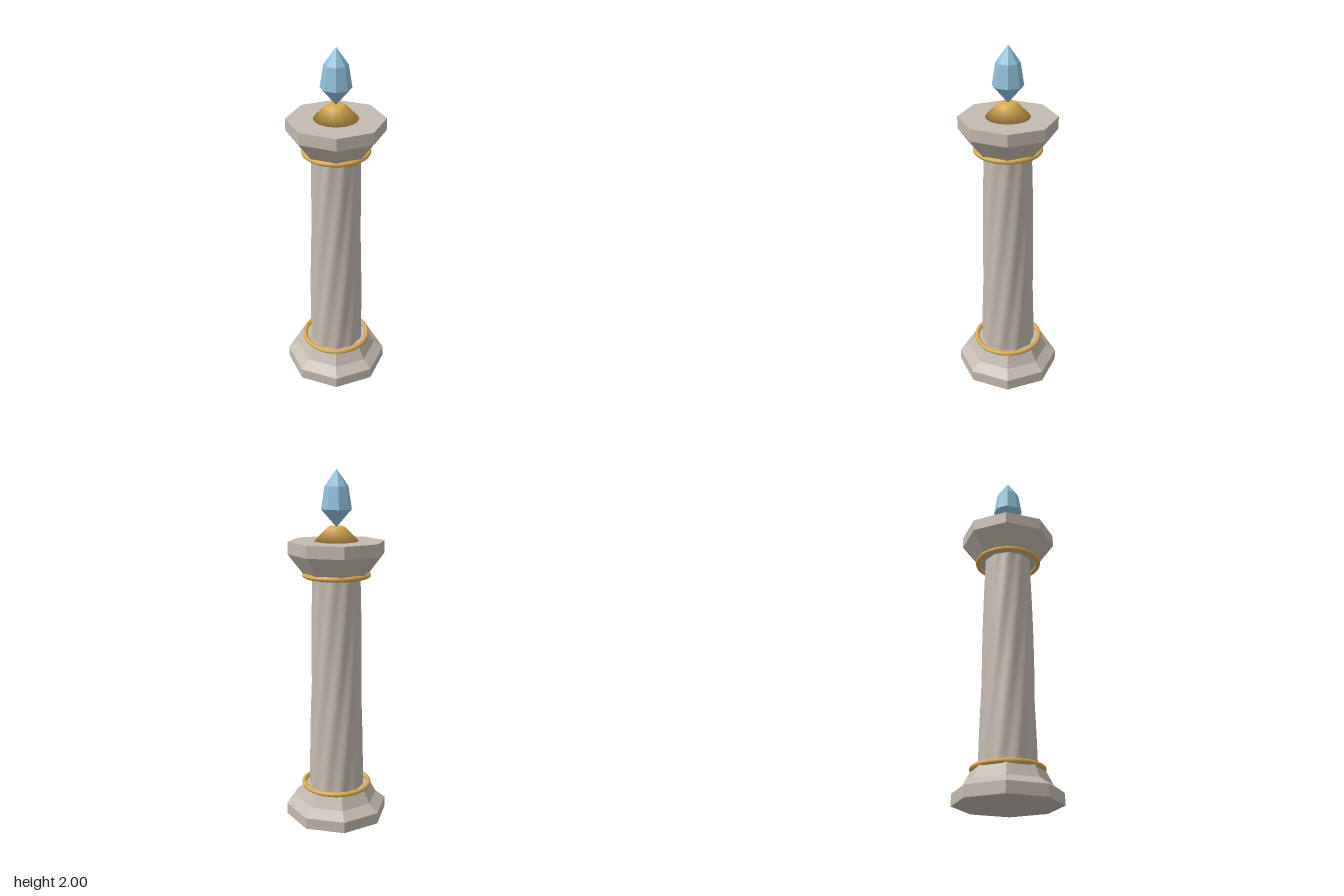
import * as THREE from 'three';
import { mergeVertices } from 'three/addons/utils/BufferGeometryUtils.js';

const material = (name, color) => {
  const m = new THREE.MeshStandardMaterial({ color });
  m.name = name;
  return m;
};

// Turned solid from [radius, height] pairs, listed from bottom to top
const lathe = (profile, sides) =>
  new THREE.LatheGeometry(profile.map(([r, y]) => new THREE.Vector2(r, y)), sides);

const faceted = (profile, sides) => {
  const g = lathe(profile, sides).toNonIndexed();
  g.computeVertexNormals();
  return g;
};

// Tapered column with shallow flutes that twist as they rise
function flutedShaft(y0, y1, r0, r1, lobes, depth, twist) {
  let g = new THREE.CylinderGeometry(1, 1, 1, 120, 40, true);
  g.deleteAttribute('uv');
  g.deleteAttribute('normal');
  g = mergeVertices(g);
  const p = g.attributes.position;
  for (let i = 0; i < p.count; i++) {
    const t = p.getY(i) + 0.5;
    const a = Math.atan2(p.getX(i), p.getZ(i));
    const r = THREE.MathUtils.lerp(r0, r1, t) * (1 + depth * Math.cos(lobes * (a - twist * t)));
    p.setXYZ(i, r * Math.sin(a), THREE.MathUtils.lerp(y0, y1, t), r * Math.cos(a));
  }
  g.computeVertexNormals();
  return g;
}

export function createModel() {
  const model = new THREE.Group();
  model.name = 'crystalPillar';
  const stone = material('stone', 0xc4bab0);
  const gold = material('gold', 0xd9aa50);
  const crystal = material('crystal', 0x8fc0da);

  const add = (name, geometry, mat) => {
    const mesh = new THREE.Mesh(geometry, mat);
    mesh.name = name;
    model.add(mesh);
    return mesh;
  };

  // Eight-sided foot and capital
  add('base', faceted([[0, 0], [0.295, 0], [0.295, 0.065], [0.237, 0.108], [0.2, 0.18], [0, 0.18]], 8), stone);
  add('capital', faceted([[0, 1.43], [0.18, 1.43], [0.222, 1.484], [0.27, 1.547], [0.27, 1.615], [0, 1.615]], 8), stone);

  add('shaft', flutedShaft(0.17, 1.44, 0.155, 0.132, 10, 0.025, 1), stone);

  // Gold rings at both ends of the shaft
  for (const [name, y, r] of [['lowerRing', 0.188, 0.19], ['upperRing', 1.429, 0.177]]) {
    const ring = add(name, new THREE.TorusGeometry(r, 0.014, 10, 40), gold);
    ring.rotation.x = Math.PI / 2;
    ring.position.y = y;
  }

  // Finial seat and the cut crystal standing on it
  add('finialSeat', lathe([[0, 1.613], [0.125, 1.613], [0.055, 1.684], [0.04, 1.695], [0, 1.695]], 16), gold);
  add('crystal', faceted([[0, 1.69], [0.085, 1.787], [0.065, 1.91], [0, 2]], 8), crystal);

  return model;
}
